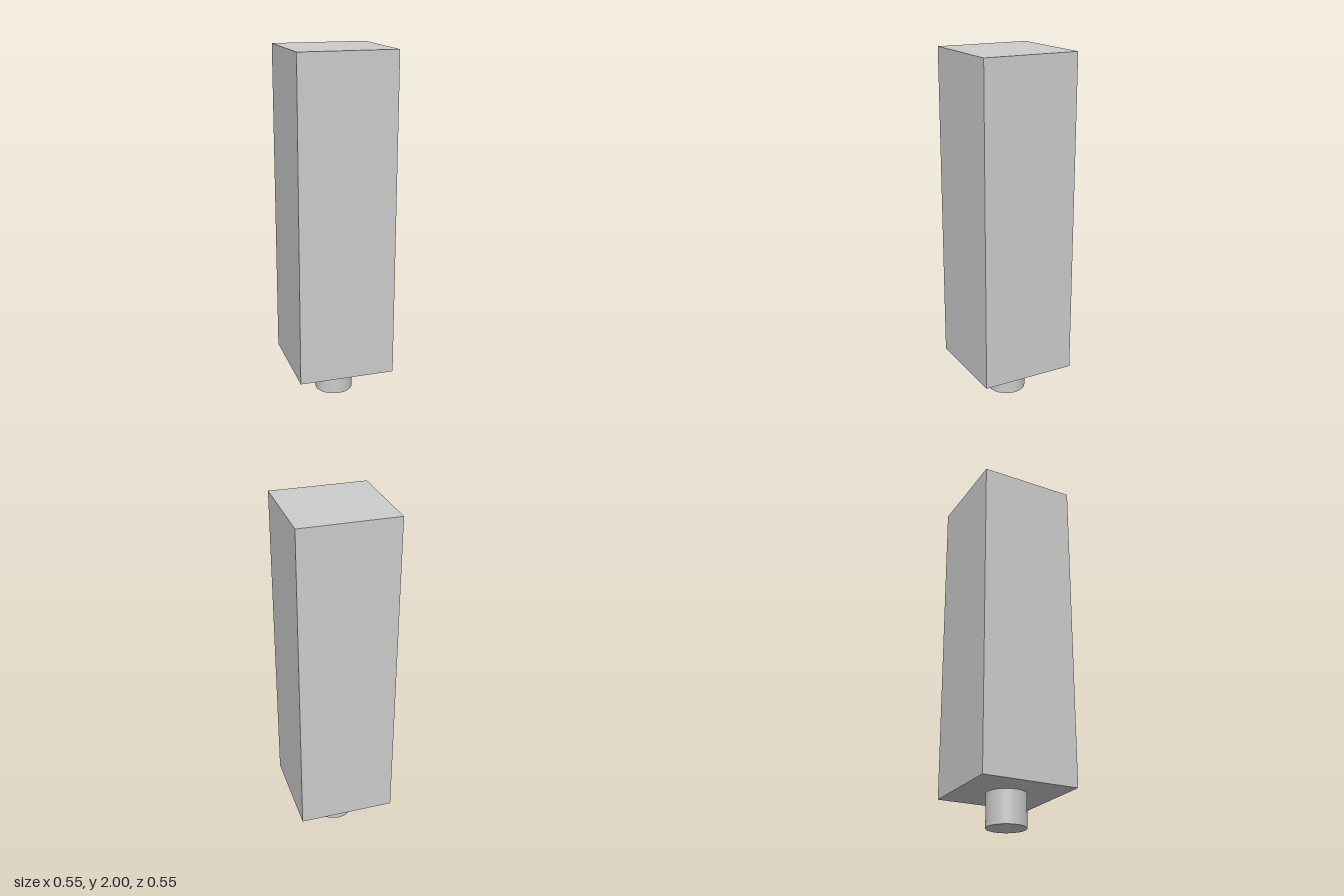
import * as THREE from 'three';

export function createModel() {
  const group = new THREE.Group();
  const material = new THREE.MeshStandardMaterial({ color: 0xcccccc });
  const width = 0.545, pegHeight = 0.182, pegRadius = 0.109, top = 2;

  const addPart = (name, geometry, y) => {
    const mesh = new THREE.Mesh(geometry, material);
    mesh.name = name;
    mesh.position.y = y;
    group.add(mesh);
  };

  // Tall square block
  addPart('body', new THREE.BoxGeometry(width, top - pegHeight, width), (top + pegHeight) / 2);
  // Round peg under the block
  addPart('peg', new THREE.CylinderGeometry(pegRadius, pegRadius, pegHeight, 48), pegHeight / 2);

  return group;
}
